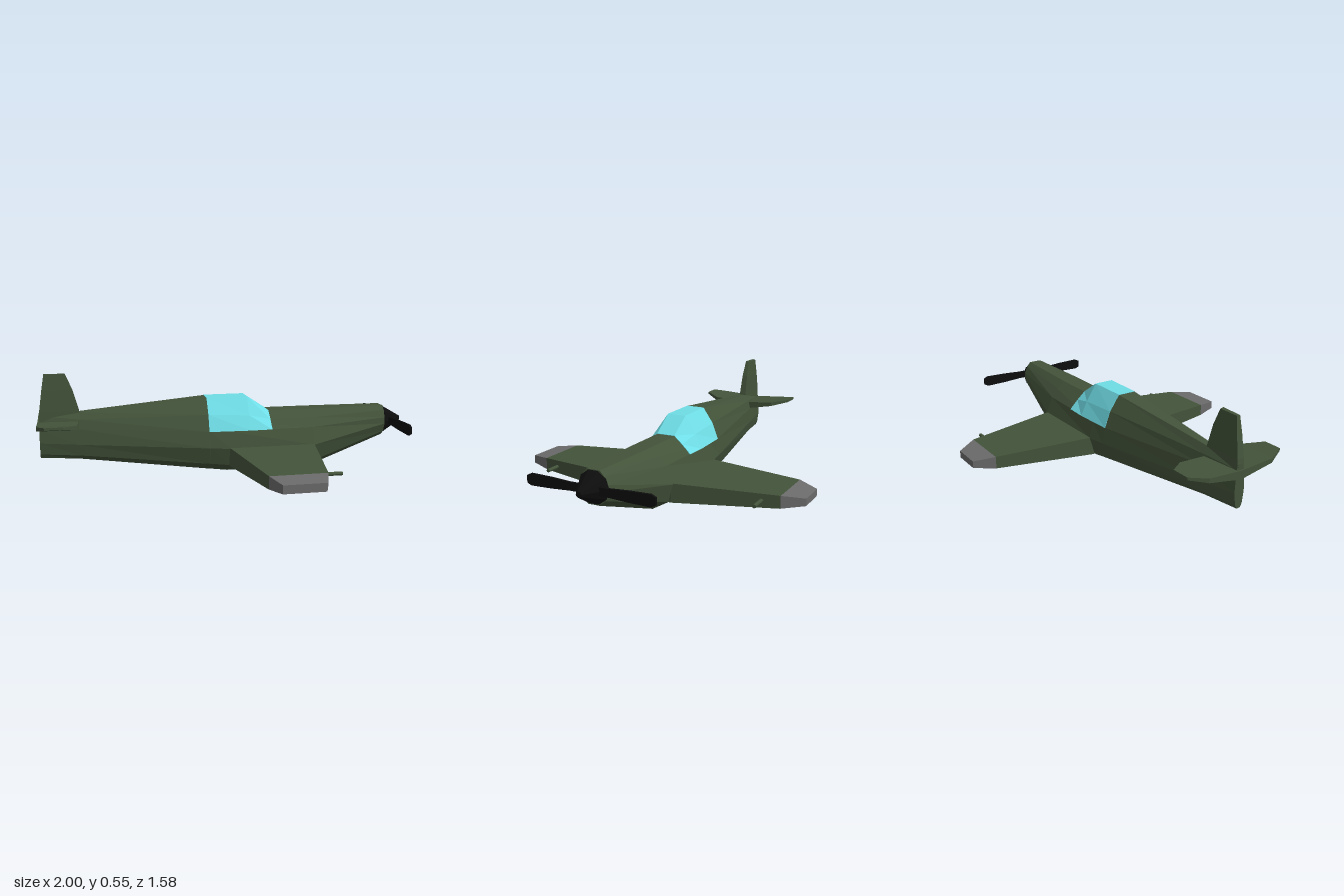
import * as THREE from 'three';

const mat = (color) => new THREE.MeshStandardMaterial({ color, flatShading: true });
const Z0 = -0.005; // fuselage centre line

// Closed loft through rings of [x, y, z] points, with fan caps; winding is turned outward
function loft(rings) {
  const n = rings[0].length, tris = [];
  for (let r = 0; r < rings.length - 1; r++) {
    for (let i = 0; i < n; i++) {
      const j = (i + 1) % n, a = rings[r], b = rings[r + 1];
      tris.push([a[i], b[i], b[j]], [a[i], b[j], a[j]]);
    }
  }
  const last = rings[rings.length - 1];
  for (let i = 1; i < n - 1; i++) {
    tris.push([rings[0][0], rings[0][i], rings[0][i + 1]], [last[0], last[i + 1], last[i]]);
  }
  let volume = 0;
  for (const t of tris) {
    const [a, b, c] = t.map((p) => new THREE.Vector3(...p));
    volume += a.dot(b.cross(c));
  }
  if (volume < 0) tris.forEach((t) => t.reverse());
  const geo = new THREE.BufferGeometry();
  geo.setAttribute('position', new THREE.Float32BufferAttribute(tris.flat(2), 3));
  geo.computeVertexNormals();
  return geo;
}

// Mirrored body ring at x from [halfWidth, y] pairs listed top to bottom
const bodyRing = (x, half) => [
  ...half.map(([w, y]) => [x, y, Z0 + w]),
  ...half.slice().reverse().map(([w, y]) => [x, y, Z0 - w]),
];

// Rectangular wing ring at z
const wingRing = ([z, x0, x1, y0, y1]) => [[x0, y0, z], [x1, y0, z], [x1, y1, z], [x0, y1, z]];

export function createModel() {
  const group = new THREE.Group();
  const green = mat(0x43533a), grey = mat(0x6b6b6b), cyan = mat(0x6fdde6), black = mat(0x0d0d0d);
  const add = (name, geo, material) => {
    const mesh = new THREE.Mesh(geo, material);
    mesh.name = name;
    group.add(mesh);
    return mesh;
  };

  // Fuselage, tail to nose; the deck drops under the canopy
  add('fuselage', loft([
    bodyRing(-0.99, [[0.01, 0.33], [0.018, 0.30], [0.025, 0.26], [0.028, 0.19], [0.02, 0.13], [0.01, 0.11]]),
    bodyRing(-0.785, [[0.018, 0.345], [0.038, 0.31], [0.05, 0.26], [0.057, 0.18], [0.045, 0.12], [0.02, 0.097]]),
    bodyRing(-0.12, [[0.05, 0.40], [0.105, 0.32], [0.137, 0.235], [0.152, 0.15], [0.125, 0.06], [0.045, 0.013]]),
    bodyRing(-0.115, [[0.05, 0.32], [0.09, 0.28], [0.137, 0.235], [0.152, 0.15], [0.125, 0.06], [0.045, 0.013]]),
    bodyRing(-0.01, [[0.05, 0.32], [0.095, 0.28], [0.143, 0.235], [0.165, 0.145], [0.138, 0.05], [0.05, 0]]),
    bodyRing(0.45, [[0.05, 0.32], [0.092, 0.28], [0.13, 0.235], [0.165, 0.145], [0.138, 0.05], [0.05, 0]]),
    bodyRing(0.885, [[0.035, 0.32], [0.057, 0.297], [0.075, 0.26], [0.078, 0.225], [0.06, 0.18], [0.03, 0.155]]),
  ]), green);

  // Canopy with sloped windscreen
  add('canopy', loft([
    bodyRing(-0.12, [[0.05, 0.402], [0.106, 0.32], [0.139, 0.235]]),
    bodyRing(0.1, [[0.052, 0.402], [0.11, 0.31], [0.148, 0.235]]),
    bodyRing(0.22, [[0.05, 0.322], [0.096, 0.282], [0.143, 0.235]]),
  ]), cyan);

  // Wings, tips and guns: [z, trailing x, leading x, bottom y, top y]
  const sides = [
    { label: 'left', s: 1, joint: [0.67, 0.06, 0.35, 0.073, 0.137], tip: [0.787, 0.095, 0.305, 0.083, 0.125] },
    { label: 'right', s: -1, joint: [-0.685, 0.068, 0.342, 0.073, 0.137], tip: [-0.79, 0.118, 0.278, 0.083, 0.12] },
  ];
  for (const { label, s, joint, tip } of sides) {
    const root = [s * 0.155 + Z0, -0.015, 0.45, 0.05, 0.149];
    const inner = [Z0 + s * 0.05, -0.015, 0.45, 0.05, 0.149];
    add(label + 'Wing', loft([inner, root, joint].map(wingRing)), green);
    add(label + 'WingTip', loft([joint, tip].map(wingRing)), grey);

    const gun = add(label + 'Gun', new THREE.CylinderGeometry(0.01, 0.01, 0.13, 8), green);
    gun.rotation.z = Math.PI / 2;
    gun.position.set(0.385, 0.105, Z0 + s * 0.59);

    // Tailplane with slight dihedral
    add(label + 'Tailplane', loft([
      [0, -0.998, -0.79, 0.255, 0.298],
      [s * 0.185, -0.998, -0.797, 0.288, 0.31],
      [s * 0.275, -0.957, -0.863, 0.31, 0.323],
    ].map(([z, ...rest]) => wingRing([z + Z0, ...rest]))), green);
  }

  // Fin, thinning upward: [y, rear x, front x, half thickness]
  add('fin', loft([
    [0.30, -0.99, -0.78, 0.02],
    [0.35, -0.987, -0.785, 0.019],
    [0.46, -0.971, -0.815, 0.015],
    [0.545, -0.957, -0.85, 0.009],
  ].map(([y, x0, x1, t]) => [[x0, y, Z0 - t], [x1, y, Z0 - t], [x1, y + 0.003, Z0 + t], [x0, y, Z0 + t]])), green);

  // Spinner and two-bladed propeller
  const spinner = add('spinner', new THREE.CylinderGeometry(0.014, 0.083, 0.116, 10), black);
  spinner.rotation.z = -Math.PI / 2;
  spinner.position.set(0.942, 0.238, Z0);

  const blade = new THREE.Shape();
  const outline = [[0, 0.02], [0.1, 0.02], [0.2, 0.026], [0.315, 0.029], [0.338, 0.018]];
  const half = [...outline, ...outline.slice().reverse().map(([z, y]) => [z, -y])];
  blade.setFromPoints(half.map(([z, y]) => new THREE.Vector2(z, y)));
  const bladeGeo = new THREE.ExtrudeGeometry(blade, { depth: 0.012, bevelEnabled: false });
  bladeGeo.translate(0, 0, -0.006);
  for (const s of [1, -1]) {
    const mesh = add(s > 0 ? 'leftBlade' : 'rightBlade', bladeGeo, black);
    mesh.rotation.y = -s * Math.PI / 2;
    mesh.position.set(0.919, 0.238, Z0);
  }
  return group;
}
